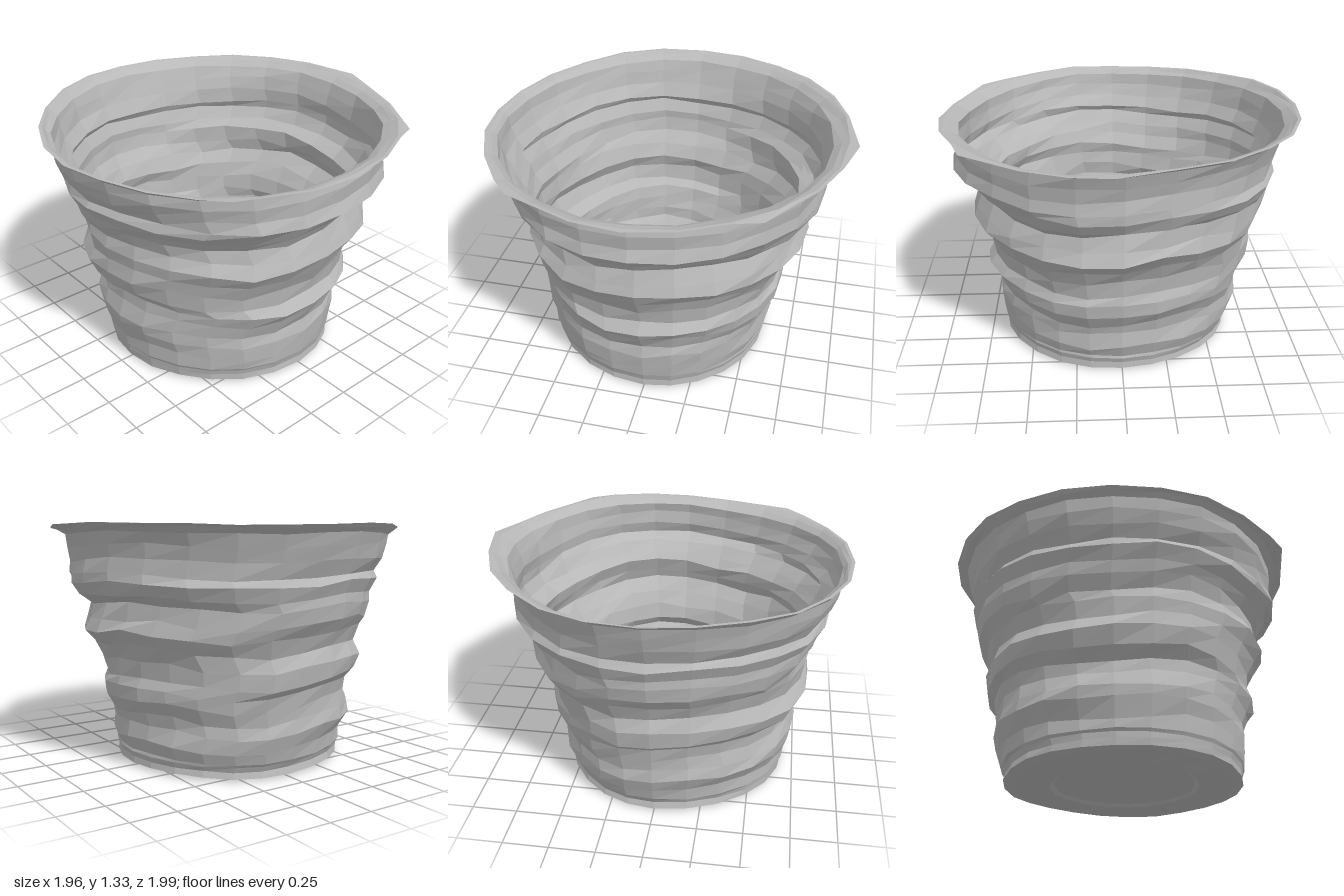
import * as THREE from 'three';

const SIDES = 24;

// Wall sections from foot to rim: height, then reach to -x, +x, +z, -z
const WALL = [
  [0.015, 0.635, 0.67, 0.685, 0.59],
  [0.05, 0.625, 0.665, 0.69, 0.585],
  [0.08, 0.64, 0.675, 0.69, 0.595],
  [0.095, 0.655, 0.68, 0.70, 0.59],
  [0.16, 0.67, 0.685, 0.70, 0.62],
  [0.25, 0.705, 0.69, 0.735, 0.605],
  [0.31, 0.69, 0.68, 0.74, 0.62],
  [0.39, 0.70, 0.72, 0.71, 0.67],
  [0.46, 0.71, 0.75, 0.71, 0.68],
  [0.51, 0.75, 0.71, 0.77, 0.66],
  [0.60, 0.77, 0.73, 0.80, 0.67],
  [0.68, 0.74, 0.77, 0.78, 0.72],
  [0.76, 0.77, 0.82, 0.80, 0.79],
  [0.82, 0.82, 0.80, 0.78, 0.76],
  [0.90, 0.84, 0.77, 0.82, 0.735],
  [0.95, 0.84, 0.80, 0.84, 0.82],
  [1.02, 0.865, 0.85, 0.89, 0.86],
  [1.06, 0.84, 0.91, 0.87, 0.86],
  [1.13, 0.875, 0.89, 0.91, 0.85],
  [1.20, 0.90, 0.90, 0.935, 0.86],
  [1.262, 0.92, 0.885, 0.945, 0.885],
  [1.285, 0.955, 0.93, 0.97, 0.93],
  [1.3, 0.98, 0.97, 0.99, 0.965],
];

// Repeatable noise in -1..1
function noise(i, j) {
  const s = Math.sin(i * 127.1 + j * 311.7) * 43758.5453;
  return (s - Math.floor(s)) * 2 - 1;
}

// One crumpled ring; creases climb around the wall
function ring([y, left, right, front, back], row, inset, rough) {
  const points = [];
  for (let j = 0; j < SIDES; j++) {
    const a = (j / SIDES) * Math.PI * 2;
    const s = Math.sin(a), c = Math.cos(a);
    const crease = Math.sin(y * 22 - a * 2) * 0.012 * Math.abs(Math.sin(a * 2));
    const r = 1 + rough * (crease + noise(row, j) * 0.008) - inset;
    const lean = Math.pow(y / 1.3, 4);
    const lift = rough * (noise(row + 50, j) * 0.012 + 0.02 * Math.sin(a * 4));
    points.push(new THREE.Vector3(
      s * (s > 0 ? right : left) * r,
      Math.max(0, y + lift - lean * (0.023 * s + 0.017 * c)),
      c * (c > 0 ? front : back) * r
    ));
  }
  return points;
}

// Skin a list of rings, optionally closing the last one with a disc
function loft(rings, capped) {
  const pos = [];
  const tri = (...p) => p.forEach((v) => pos.push(v.x, v.y, v.z));
  for (let i = 0; i + 1 < rings.length; i++) {
    for (let j = 0; j < SIDES; j++) {
      const k = (j + 1) % SIDES;
      const a = rings[i][j], b = rings[i][k], c = rings[i + 1][k], d = rings[i + 1][j];
      tri(a, b, c);
      tri(a, c, d);
    }
  }
  if (capped) {
    const last = rings[rings.length - 1];
    const mid = last.reduce((m, p) => m.add(p), new THREE.Vector3()).divideScalar(SIDES);
    last.forEach((p, j) => tri(p, last[(j + 1) % SIDES], mid));
  }
  const geometry = new THREE.BufferGeometry();
  geometry.setAttribute('position', new THREE.Float32BufferAttribute(pos, 3));
  geometry.computeVertexNormals();
  return geometry;
}

export function createModel() {
  const group = new THREE.Group();
  group.name = 'crumpledPot';
  const grey = new THREE.MeshStandardMaterial({ color: 0xb8b8b8, flatShading: true, side: THREE.DoubleSide });
  grey.name = 'grey';
  const add = (name, rings, capped) => {
    const mesh = new THREE.Mesh(loft(rings, capped), grey);
    mesh.name = name;
    group.add(mesh);
  };

  // The foot and lip are smoother than the wavy middle
  const roughness = (y) => (y < 0.1 ? 0.25 : y > 1.24 ? 0.4 : y > 0.93 ? 0.7 : 1);
  // The wall is thin above and thickens towards the floor
  const thickness = (y) => 0.018 + 0.1 * Math.max(0, 1 - (y - 0.095) / 0.3);
  const outer = WALL.map((w, i) => ring(w, i, 0, roughness(w[0])));
  const inner = WALL.slice(3).map((w, i) => ring(w, i + 3, thickness(w[0]), roughness(w[0])));

  // Pulled-out points on the lip
  const lip = outer[outer.length - 1];
  const pull = (j, x, y, z) => lip[j].set(x, y, z);
  pull(SIDES / 2, 0.05, 1.32, -1.0);
  pull(SIDES / 4, 0.975, 1.27, 0.0);
  pull(3, 0.69, 1.275, 0.72);
  pull(4, 0.8, 1.275, 0.62);
  pull(9, 0.79, 1.29, -0.61);
  pull(18, -0.98, 1.325, 0.0);

  add('outerWall', outer);
  add('lip', [lip, inner[inner.length - 1]]);
  add('innerWall', inner.slice().reverse());

  // Floor with a shallow round centre
  add('floor', [
    inner[0],
    ring([0.075, 0.53, 0.58, 0.57, 0.51], 70, 0, 0.2),
    ring([0.06, 0.38, 0.43, 0.45, 0.37], 71, 0, 0.2),
    ring([0.045, 0.36, 0.41, 0.42, 0.35], 72, 0, 0.1),
  ], true);

  // Underside with a recessed centre
  const under = [
    outer[0],
    ring([0.006, 0.58, 0.62, 0.64, 0.54], 80, 0, 0.2),
    ring([0.01, 0.38, 0.43, 0.45, 0.37], 81, 0, 0.2),
    ring([0.025, 0.36, 0.41, 0.42, 0.35], 82, 0, 0.1),
  ];
  add('underside', under.map((r) => r.slice().reverse()), true);

  return group;
}
